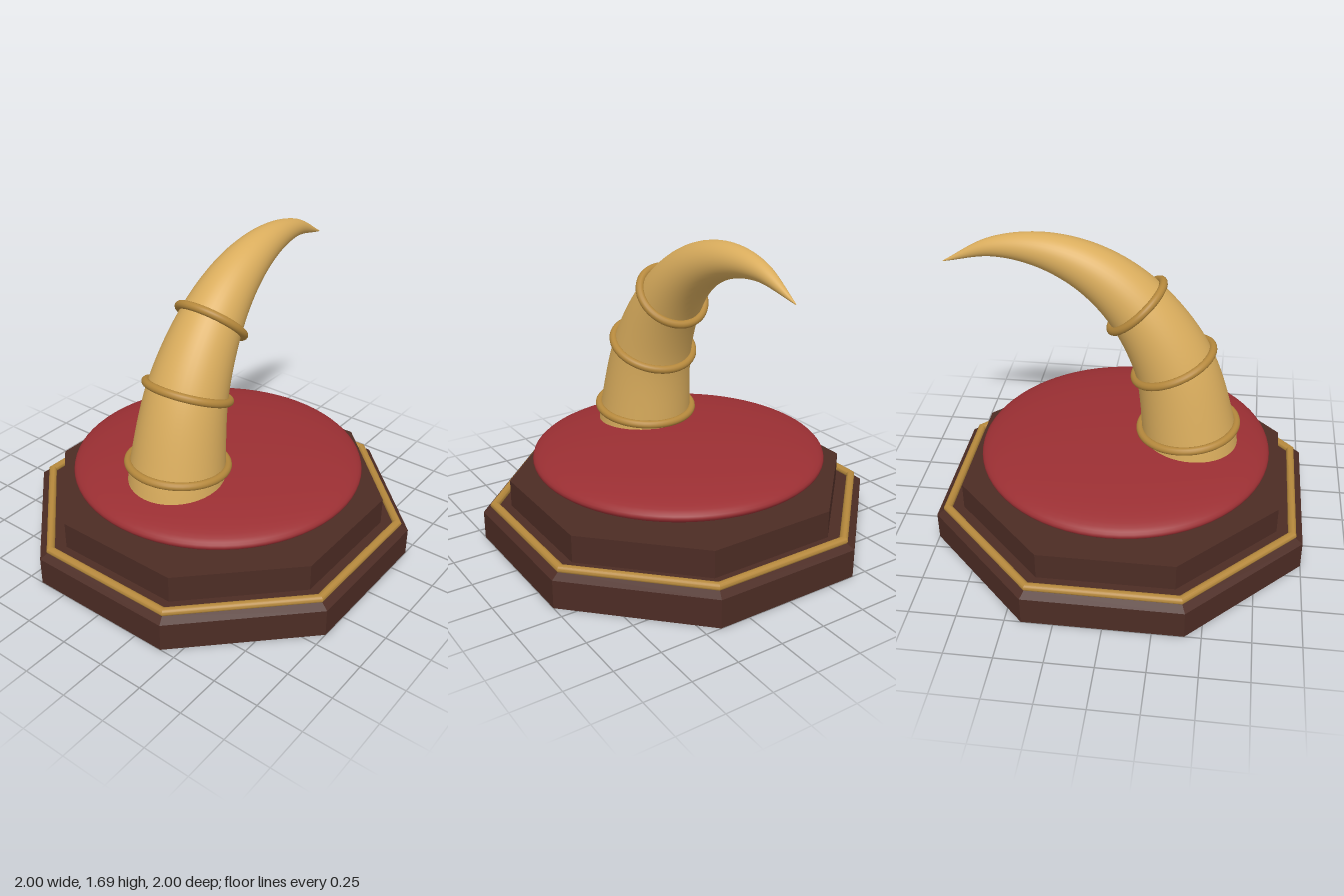
import * as THREE from 'three';
import { mergeVertices, toCreasedNormals } from 'three/addons/utils/BufferGeometryUtils.js';

const mat = (name, color) => {
  const m = new THREE.MeshStandardMaterial({ color });
  m.name = name;
  return m;
};
const v2 = (list) => list.map(([x, y]) => new THREE.Vector2(x, y));

// Octagonal solid: profile given as [flat half-width, height], flats facing the axes
function octagon(profile) {
  const k = 1 / Math.cos(Math.PI / 8);
  const points = v2(profile.map(([a, y]) => [a * k, y]));
  return toCreasedNormals(new THREE.LatheGeometry(points, 8, Math.PI / 8), Math.PI / 8);
}

// Tube along a curve whose rings are scaled to a radius depending on remaining length
function taperedTube(curve, segments, sides, radiusAt) {
  const geo = new THREE.TubeGeometry(curve, segments, 1, sides);
  const pos = geo.attributes.position;
  const length = curve.getLength();
  const p = new THREE.Vector3();
  for (let i = 0; i <= segments; i++) {
    const centre = curve.getPointAt(i / segments);
    const r = radiusAt(length * (1 - i / segments));
    for (let j = 0; j <= sides; j++) {
      const n = i * (sides + 1) + j;
      p.fromBufferAttribute(pos, n).sub(centre).multiplyScalar(r).add(centre);
      pos.setXYZ(n, p.x, p.y, p.z);
    }
  }
  geo.deleteAttribute('uv');
  geo.deleteAttribute('normal');
  const merged = mergeVertices(geo, 1e-4);
  merged.computeVertexNormals();
  return merged;
}

export function createModel() {
  const group = new THREE.Group();
  const wood = mat('dark wood', 0x4c2c24);
  const brass = mat('aged gold', 0xb5883c);
  const velvet = mat('red velvet', 0x9b2f33);
  const horn = mat('horn', 0xdaad5d);

  const add = (name, geo, material) => {
    const mesh = new THREE.Mesh(geo, material);
    mesh.name = name;
    group.add(mesh);
    return mesh;
  };

  // Stepped octagonal plinth
  add('lowerPlinth', octagon([[0, 0], [1, 0], [1, 0.155], [0.96, 0.18], [0, 0.18]]), wood);
  add('upperPlinth', octagon([[0, 0.17], [0.86, 0.17], [0.86, 0.33], [0, 0.33]]), wood);

  // Rounded gold moulding around the step
  const bead = [];
  for (let i = 0; i <= 20; i++) {
    const a = (i / 20) * Math.PI * 2;
    bead.push([0.942 + 0.022 * Math.cos(a), 0.191 + 0.021 * Math.sin(a)]);
  }
  add('plinthTrim', octagon(bead), brass);

  // Flattened round cushion
  const cushion = [];
  for (let i = 0; i <= 32; i++) {
    const a = -Math.PI / 2 + (i / 32) * Math.PI;
    const c = Math.max(0, Math.cos(a));
    const s = Math.sin(a);
    cushion.push([0.8 * Math.pow(c, 0.95), 0.435 + 0.107 * Math.sign(s) * Math.pow(Math.abs(s), 0.95)]);
  }
  add('cushion', new THREE.LatheGeometry(v2(cushion), 72), velvet);

  // Curved horn tapering to a point
  const path = new THREE.CatmullRomCurve3([
    [-0.36, 0.45], [-0.345, 0.597], [-0.255, 0.988], [-0.057, 1.312],
    [0.165, 1.5], [0.42, 1.597], [0.685, 1.602], [0.95, 1.507],
  ].map(([x, y]) => new THREE.Vector3(x, y, 0)));
  add('horn', taperedTube(path, 72, 40, (s) => 0.002 + s * (0.179 - 0.0245 * s)), horn);

  // Gold bands: centre x, centre y, radius, axis direction
  const bands = [
    [-0.345, 0.598, 0.264, 0.1, 0.995],
    [-0.255, 0.988, 0.224, 0.395, 0.918],
    [-0.057, 1.312, 0.184, 0.68, 0.733],
  ];
  const forward = new THREE.Vector3(0, 0, 1);
  bands.forEach(([x, y, r, ax, ay], i) => {
    const band = add(`hornBand${i + 1}`, new THREE.TorusGeometry(r, 0.022, 14, 56), brass);
    band.position.set(x, y, 0);
    band.quaternion.setFromUnitVectors(forward, new THREE.Vector3(ax, ay, 0).normalize());
  });

  return group;
}
